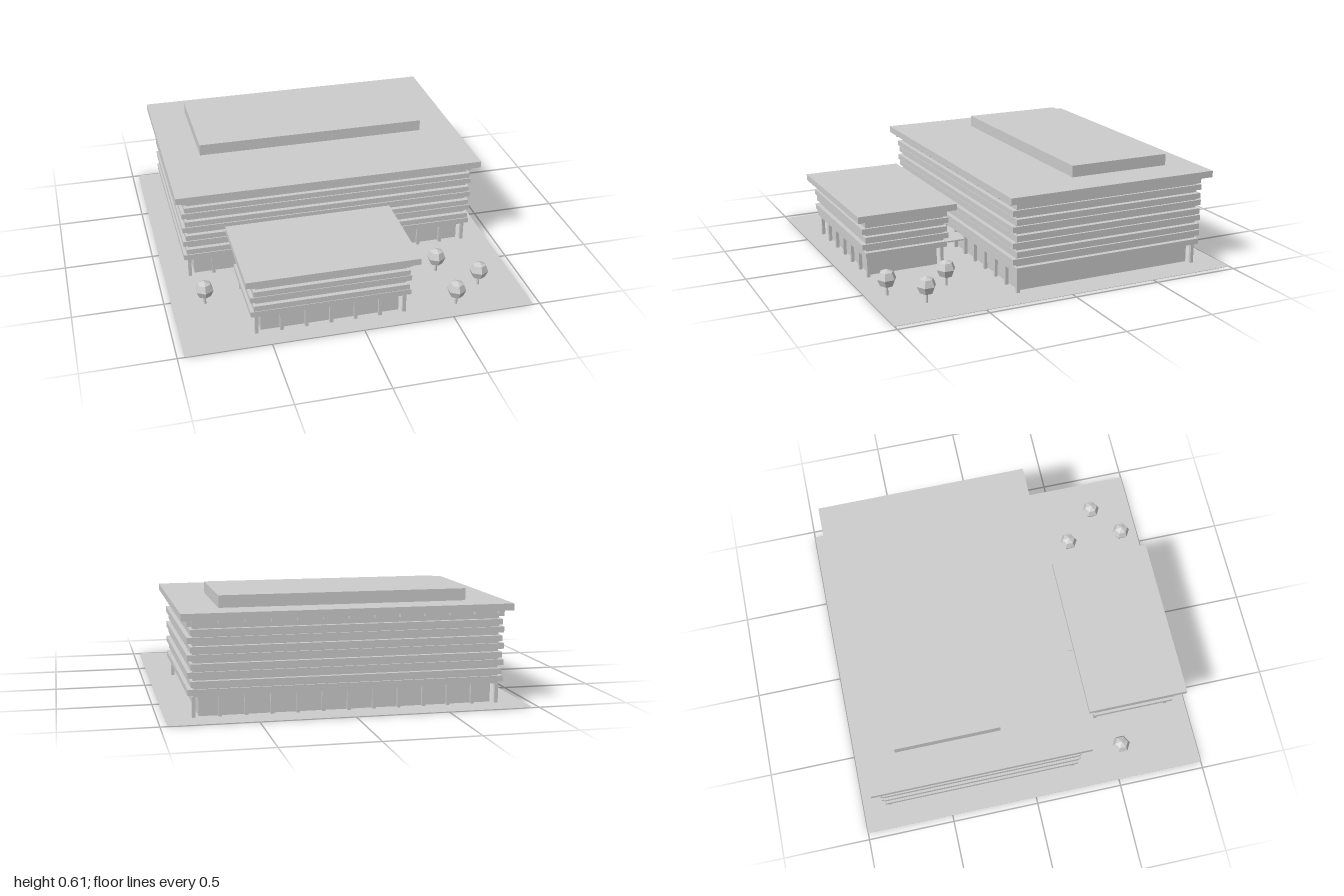
import * as THREE from 'three';

export function createModel() {
  const root = new THREE.Group();
  const grey = new THREE.MeshStandardMaterial({ color: 0xcccccc });
  grey.name = 'plain grey';

  const add = (parent, name, geometry, x, y, z) => {
    const mesh = new THREE.Mesh(geometry, grey);
    mesh.name = name;
    mesh.position.set(x, y, z);
    parent.add(mesh);
    return mesh;
  };
  // Box from its half width, half depth and bottom/top heights
  const slab = (parent, name, hx, hz, y0, y1, x = 0, z = 0) =>
    add(parent, name, new THREE.BoxGeometry(hx * 2, y1 - y0, hz * 2), x, (y0 + y1) / 2, z);

  const groundFloorTop = 0.11, bandStart = 0.119, bandStep = 0.0444, bandHeight = 0.031;

  // Layered block: recessed ground floor, banded walls, columns and roof.
  // hx and hz are the half sizes of the upper walls.
  function building({ name, x, z, hx, hz, bands, roofY, roofTop, roofX, roofZ, columns }) {
    const g = new THREE.Group();
    g.name = name;
    g.position.set(x, 0, z);
    root.add(g);

    slab(g, 'groundFloor', hx - 0.03, hz - 0.03, 0, groundFloorTop);
    slab(g, 'upperWalls', hx, hz, groundFloorTop, roofY);

    // Sun-shade bands, alternately longer in x and in z
    for (let i = 0; i < bands; i++) {
      const wideX = i % 2 === 0;
      const y = bandStart + i * bandStep;
      slab(g, 'facadeBand', hx + (wideX ? 0.028 : 0.013), hz + (wideX ? 0.01 : 0.025), y, y + bandHeight);
    }

    // Columns along front and back, each with a beam end below the roof
    for (let i = 0; i < columns; i++) {
      const cx = (i - (columns - 1) / 2) * 0.1358;
      for (const side of [-1, 1]) {
        slab(g, 'column', 0.009, 0.009, 0, groundFloorTop, cx, side * (hz - 0.011));
        slab(g, 'roofBeam', 0.009, 0.025, roofY - 0.02, roofY, cx, side * (hz + 0.015));
      }
    }
    slab(g, 'roof', roofX, roofZ, roofY, roofTop);
    return g;
  }

  slab(root, 'ground', 0.962, 1, 0, 0.002);

  const main = building({
    name: 'mainBuilding', x: 0, z: -0.295, hx: 0.818, hz: 0.558, bands: 9,
    roofY: 0.51, roofTop: 0.547, roofX: 0.88, roofZ: 0.618, columns: 13,
  });
  slab(main, 'rooftopBlock', 0.667, 0.296, 0.547, 0.612, 0, -0.15);

  building({
    name: 'frontAnnex', x: -0.153, z: 0.667, hx: 0.412, hz: 0.228, bands: 5,
    roofY: 0.334, roofTop: 0.37, roofX: 0.47, roofZ: 0.287, columns: 7,
  });

  // Covered link between the two blocks
  slab(root, 'linkCanopy', 0.146, 0.11, 0.087, 0.095, -0.004, 0.35);

  // Faceted trees
  const crown = new THREE.SphereGeometry(0.053, 6, 4).rotateY(Math.PI / 6).toNonIndexed();
  crown.computeVertexNormals();
  const trunk = new THREE.CylinderGeometry(0.006, 0.008, 0.06, 6);
  for (const [x, z] of [[-0.78, 0.55], [0.553, 0.55], [0.738, 0.738], [0.553, 0.887]]) {
    const tree = new THREE.Group();
    tree.name = 'tree';
    tree.position.set(x, 0, z);
    add(tree, 'trunk', trunk, 0, 0.03, 0);
    add(tree, 'crown', crown, 0, 0.095, 0);
    root.add(tree);
  }
  return root;
}
